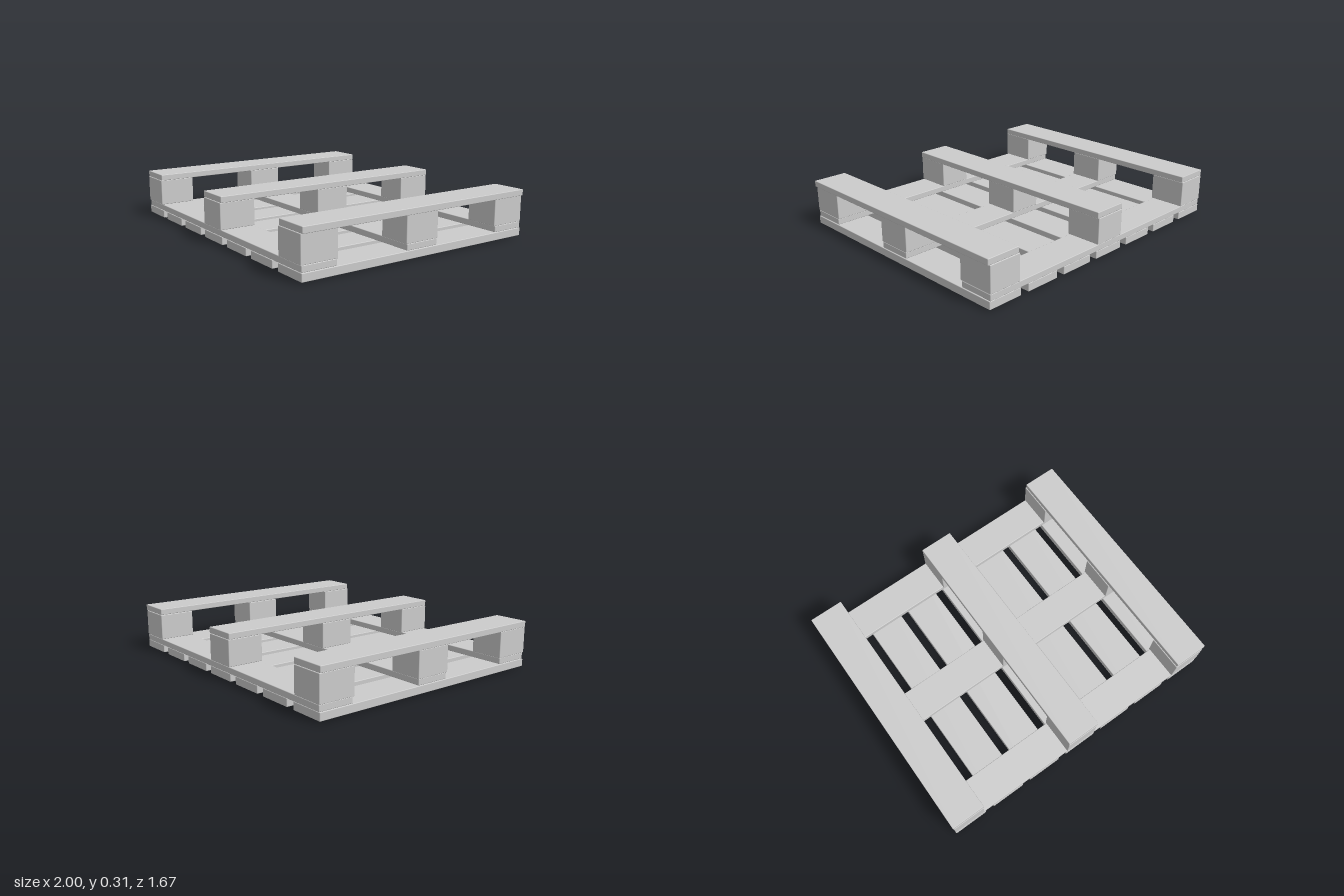
import * as THREE from 'three';
import { RoundedBoxGeometry } from 'three/addons/geometries/RoundedBoxGeometry.js';

const material = new THREE.MeshStandardMaterial({ color: 0xcccccc });

// Slightly eased timber spanning the given ranges
function timber(name, [x0, x1], [y0, y1], [z0, z1]) {
  const geometry = new RoundedBoxGeometry(x1 - x0, y1 - y0, z1 - z0, 1, 0.004);
  const mesh = new THREE.Mesh(geometry, material);
  mesh.position.set((x0 + x1) / 2, (y0 + y1) / 2, (z0 + z1) / 2);
  mesh.name = name;
  return mesh;
}

const around = (centre, width) => [centre - width / 2, centre + width / 2];

export function createModel() {
  const pallet = new THREE.Group();
  pallet.name = 'pallet';

  // Seven deck boards underneath, running front to back
  for (let i = 0; i < 7; i++) {
    const x = -0.878 + i * 0.2918;
    pallet.add(timber('deckBoard', around(x, 0.234), [0.009, 0.06], [-0.832, 0.832]));
  }

  // Three stringers across the deck boards
  for (const z of [-0.72, 0, 0.717]) {
    pallet.add(timber('stringer', [-0.99, 0.985], [0.06, 0.1], around(z, 0.226)));
  }

  // Three rows of spacer blocks, each under a runner
  for (const x of [-0.885, -0.005, 0.876]) {
    for (const z of [-0.716, 0, 0.716]) {
      pallet.add(timber('spacerBlock', around(x, 0.22), [0.1, 0.27], around(z, 0.238)));
    }
  }
  for (const x of [-0.885, -0.002, 0.885]) {
    pallet.add(timber('runner', around(x, 0.229), [0.27, 0.31], [-0.832, 0.832]));
  }

  // Nail heads under the ends of the outer deck boards
  const nailGeometry = new THREE.CylinderGeometry(0.006, 0.006, 0.011, 8);
  for (const x of [-0.878, 0.873]) {
    for (const dx of [-0.08, -0.02, 0.02, 0.08]) {
      for (const z of [-0.8, 0.8]) {
        const nail = new THREE.Mesh(nailGeometry, material);
        nail.name = 'nailHead';
        nail.position.set(x + dx, 0.0055, z);
        pallet.add(nail);
      }
    }
  }
  return pallet;
}
